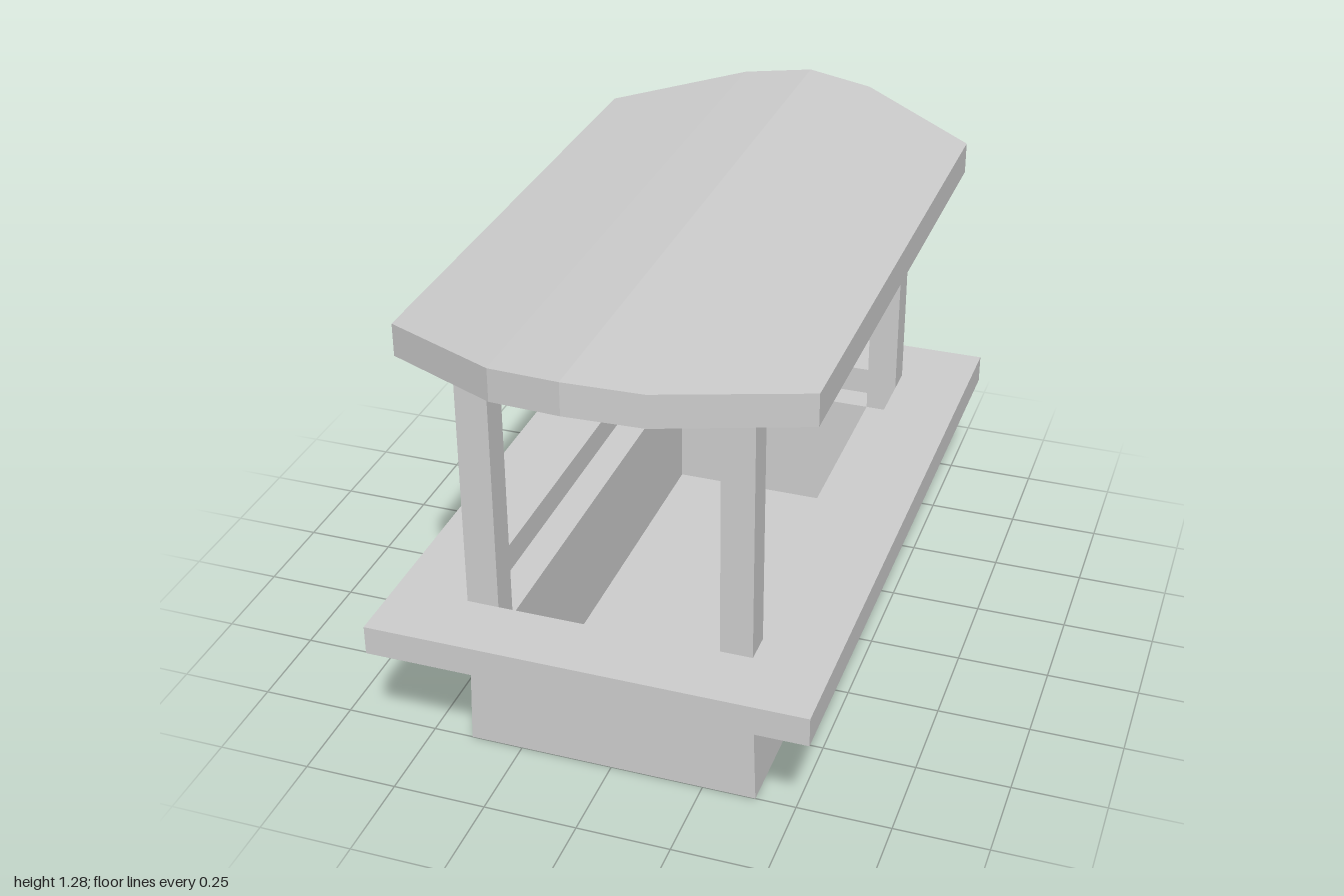
import * as THREE from 'three';

// Rectangular frame (outer and inner half sizes) standing on y = 0
function frameGeometry(ox, oz, ix, iz, height) {
  const rect = (P, x, z) => new P().moveTo(-x, -z).lineTo(x, -z).lineTo(x, z).lineTo(-x, z).closePath();
  const shape = rect(THREE.Shape, ox, oz);
  shape.holes.push(rect(THREE.Path, ix, iz));
  return new THREE.ExtrudeGeometry(shape, { depth: height, bevelEnabled: false }).rotateX(-Math.PI / 2);
}

// Move every vertex by a rule, then facet the result
function reshape(geometry, rule) {
  const g = geometry.index ? geometry.toNonIndexed() : geometry;
  const p = g.attributes.position;
  const v = new THREE.Vector3();
  for (let i = 0; i < p.count; i++) {
    rule(v.fromBufferAttribute(p, i));
    p.setXYZ(i, v.x, v.y, v.z);
  }
  g.computeVertexNormals();
  return g;
}

export function createModel() {
  const model = new THREE.Group();
  model.name = 'stall';
  const grey = new THREE.MeshStandardMaterial({ color: 0xcccccc });
  grey.name = 'plain grey';

  const add = (name, geometry, x = 0, y = 0, z = 0) => {
    const mesh = new THREE.Mesh(geometry, grey);
    mesh.name = name;
    mesh.position.set(x, y, z);
    model.add(mesh);
  };

  // Hollow base whose long sides flare slightly toward the ground
  const walls = reshape(frameGeometry(0.38, 0.75, 0.295, 0.667, 0.36), (v) => {
    if (v.y < 0.01 && Math.abs(v.x) > 0.35) v.x = Math.sign(v.x) * 0.392;
  });
  add('baseWalls', walls);
  add('baseFloor', new THREE.BoxGeometry(0.59, 0.005, 1.334), 0, 0.0025, 0);

  // Counter ring, leaving the top of the walls as an inner ledge
  add('counter', frameGeometry(0.58, 0.937, 0.38, 0.75, 0.08), 0, 0.36, 0);

  // Corner posts standing on the ledge
  const post = new THREE.BoxGeometry(0.085, 0.805, 0.083);
  for (const sx of [1, -1]) {
    for (const sz of [1, -1]) {
      add(`${sz > 0 ? 'front' : 'back'}${sx > 0 ? 'Left' : 'Right'}Post`, post, sx * 0.3375, 0.7625, sz * 0.7085);
    }
  }

  // Arched roof slab, longest along its ridge: x, underside y, half length
  const ribs = [[0, 1.191, 1], [0.19, 1.174, 0.964], [0.53, 1.125, 0.753]];
  const roof = reshape(new THREE.BoxGeometry(4, 1, 2, 4, 1, 1), (v) => {
    const [x, y, z] = ribs[Math.round(Math.abs(v.x))];
    v.set(Math.sign(v.x) * x, y + (v.y > 0 ? 0.087 : 0), Math.sign(v.z) * z);
  });
  add('roof', roof);

  return model;
}
